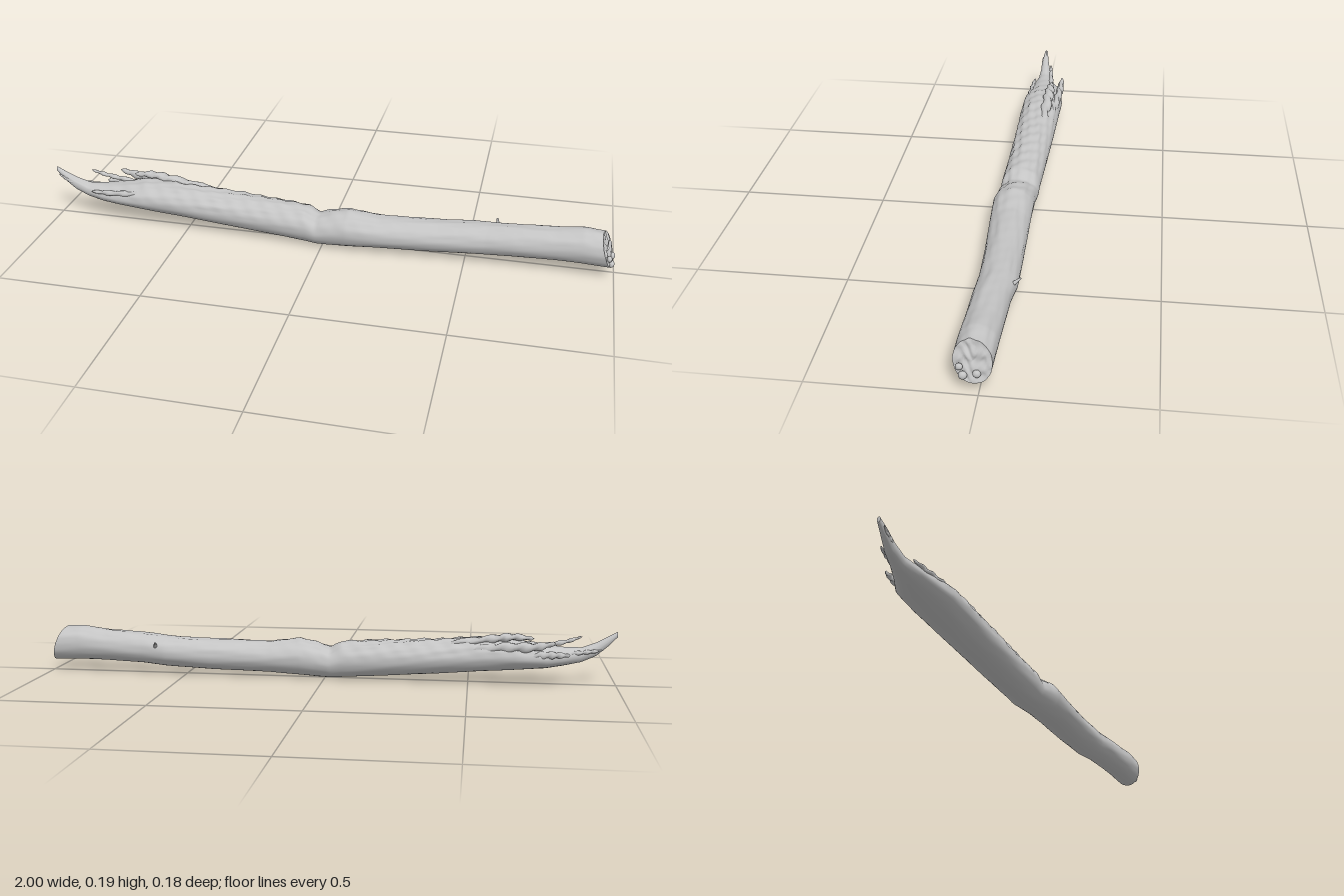
import * as THREE from 'three';

// Stations along the log: x, bottom y, top y, back z, front z
const STATIONS = [
  [-1.0, 0.172, 0.190, 0.002, 0.014], [-0.97, 0.140, 0.174, -0.004, 0.020],
  [-0.93, 0.106, 0.152, -0.014, 0.023], [-0.88, 0.084, 0.134, -0.024, 0.028],
  [-0.82, 0.072, 0.135, -0.048, 0.043], [-0.76, 0.064, 0.142, -0.078, 0.052],
  [-0.66, 0.056, 0.160, -0.088, 0.064], [-0.55, 0.047, 0.164, -0.084, 0.065],
  [-0.40, 0.034, 0.153, -0.078, 0.066], [-0.20, 0.018, 0.142, -0.069, 0.069],
  [-0.06, 0.008, 0.134, -0.062, 0.074], [-0.02, 0.005, 0.112, -0.060, 0.076],
  [0.03, 0.006, 0.128, -0.056, 0.080], [0.09, 0.010, 0.140, -0.056, 0.085],
  [0.20, 0.018, 0.127, -0.055, 0.081], [0.40, 0.022, 0.131, -0.058, 0.070],
  [0.57, 0.031, 0.139, -0.060, 0.065], [0.66, 0.038, 0.147, -0.049, 0.069],
  [0.80, 0.044, 0.156, -0.045, 0.071], [0.89, 0.044, 0.167, -0.043, 0.074],
  [0.975, 0.040, 0.163, -0.039, 0.076],
];

// Closed tube or disc of rings; point(i, j) gives one corner
function loft(rings, sides, point, material, name) {
  const pos = [], index = [];
  for (let i = 0; i < rings; i++)
    for (let j = 0; j < sides; j++) pos.push(...point(i / (rings - 1), (j / sides) * Math.PI * 2));
  for (let i = 0; i < rings - 1; i++)
    for (let j = 0; j < sides; j++) {
      const k = (j + 1) % sides, a = i * sides + j, b = i * sides + k;
      index.push(a, b, a + sides, b, b + sides, a + sides);
    }
  const geo = new THREE.BufferGeometry();
  geo.setAttribute('position', new THREE.Float32BufferAttribute(pos, 3));
  geo.setIndex(index);
  geo.computeVertexNormals();
  const mesh = new THREE.Mesh(geo, material);
  mesh.name = name;
  return mesh;
}

// Smoothly blended station at x
function section(x) {
  let i = 0;
  while (i < STATIONS.length - 2 && STATIONS[i + 1][0] < x) i++;
  const a = STATIONS[i], b = STATIONS[i + 1];
  const t = THREE.MathUtils.clamp((x - a[0]) / (b[0] - a[0]), 0, 1);
  return a.map((v, k) => v + (b[k] - v) * t);
}

// Point on the log's skin, with grain, worn top and a skewed sawn end
function skin(x, a) {
  const [, y0, y1, z0, z1] = section(x);
  const up = Math.max(0, Math.cos(a));
  const ss = THREE.MathUtils.smoothstep;
  const worn = ss(x, -0.92, -0.7) * (1 - ss(x, -0.1, 0.3));
  const grain = Math.sin(a * 7 + 3 * Math.sin(x * 5)) * Math.sin(x * 11 + a * 2)
    + 0.7 * Math.sin(a * 13 + x * 9) * Math.sin(x * 23 + a);
  const chips = Math.sin(x * 61 + a * 5) * Math.sin(x * 37 - a * 9);
  const r = 1 + grain * (0.008 + 0.022 * up) + chips * up * (0.01 + 0.055 * worn);
  const y = (y0 + y1) / 2 + Math.cos(a) * r * (y1 - y0) / 2;
  const z = (z0 + z1) / 2 + Math.sin(a) * r * (z1 - z0) / 2;
  const skew = ss(x, 0.88, 0.975) * ((0.1 - y) * 0.32 - z * 0.16);
  return [x + skew, y, z];
}

export function createModel() {
  const log = new THREE.Group();
  log.name = 'brokenLog';
  const wood = new THREE.MeshStandardMaterial({ color: 0xc4c4c4 });
  wood.name = 'pale grey wood';

  log.add(loft(260, 48, (t, a) => skin(-1 + 1.975 * t, a), wood, 'trunk'));

  // Closing discs: rough wood at the thick end, a small one at the tip
  const endCap = (x, flip, name) => {
    const [, y0, y1, z0, z1] = section(x);
    const cy = (y0 + y1) / 2, cz = (z0 + z1) / 2;
    return loft(10, 48, (t, a) => {
      const [px, py, pz] = skin(x, flip * a), s = 1 - t;
      const y = cy + (py - cy) * s, z = cz + (pz - cz) * s;
      const base = flip > 0 ? x + (0.1 - y) * 0.32 - z * 0.16 : px;
      const bump = flip > 0 && t > 0 ? 0.005 * Math.sin(y * 150 + 2 * Math.sin(z * 90)) * Math.sin(z * 130) : 0;
      return [base + bump, y, z];
    }, wood, name);
  };
  log.add(endCap(0.975, 1, 'sawnEnd'), endCap(-1, -1, 'tipEnd'));

  // Splinters and bark flakes: path points from tip to root, half height, half depth
  const splinter = (points, h, d, name) => {
    const curve = new THREE.CatmullRomCurve3(points.map((p) => new THREE.Vector3(...p)));
    log.add(loft(24, 9, (t, a) => {
      const p = curve.getPoint(t);
      const w = (0.12 + 0.88 * Math.sqrt(Math.sin(Math.PI * Math.min(t * 0.8, 1)))) * (t === 0 || t === 1 ? 0.01 : 1);
      const rough = 1 + 0.25 * Math.sin(t * 31 + a * 2);
      return [p.x, p.y + Math.cos(a) * h * w * rough, p.z + Math.sin(a) * d * w * rough];
    }, wood, name));
  };
  splinter([[-0.88, 0.176, -0.022], [-0.83, 0.160, -0.028], [-0.76, 0.146, -0.034], [-0.66, 0.135, -0.035]], 0.008, 0.008, 'upperSplinter');
  splinter([[-0.79, 0.160, -0.078], [-0.72, 0.145, -0.076], [-0.62, 0.140, -0.070], [-0.5, 0.125, -0.060]], 0.016, 0.013, 'backFlake');
  splinter([[-0.72, 0.168, -0.040], [-0.65, 0.172, -0.040], [-0.57, 0.162, -0.038], [-0.42, 0.140, -0.034]], 0.013, 0.018, 'topFlake');
  splinter([[-0.86, 0.120, 0.040], [-0.78, 0.122, 0.042], [-0.68, 0.128, 0.042], [-0.55, 0.125, 0.040]], 0.010, 0.010, 'frontSplinter');
  splinter([[-0.84, 0.118, -0.066], [-0.77, 0.118, -0.070], [-0.68, 0.110, -0.070]], 0.012, 0.010, 'sideSplinter');
  splinter([[-0.95, 0.128, -0.014], [-0.89, 0.122, -0.022], [-0.8, 0.112, -0.03]], 0.007, 0.008, 'tongueSplinter');
  splinter([[-0.99, 0.165, 0.020], [-0.95, 0.142, 0.018], [-0.88, 0.118, 0.012]], 0.007, 0.005, 'tipSplinter');

  // Twig stub on the back and small knots on the front
  const stub = new THREE.Mesh(new THREE.CylinderGeometry(0.003, 0.008, 0.035, 8), wood);
  stub.name = 'twigStub';
  stub.position.set(0.6, 0.115, -0.058);
  stub.rotation.set(-0.9, 0, 0.2);
  log.add(stub);
  for (const [x, y, z, s] of [[0.71, 0.118, 0.058, 0.011], [0.86, 0.132, 0.058, 0.008]]) {
    const knot = new THREE.Mesh(new THREE.TorusGeometry(s, 0.004, 8, 16), wood);
    knot.name = 'knot';
    knot.position.set(x, y, z);
    knot.rotation.x = -0.5;
    knot.scale.set(1.4, 0.8, 1);
    log.add(knot);
  }

  // Crumbled lumps around the thick end's lower rim
  for (const [x, y, z, s] of [[0.986, 0.062, 0.045, 0.013], [0.988, 0.072, 0.005, 0.012], [0.978, 0.085, 0.056, 0.011]]) {
    const lump = new THREE.Mesh(new THREE.IcosahedronGeometry(s, 2), wood);
    lump.name = 'endLump';
    lump.position.set(x, y, z);
    lump.scale.x = 0.8;
    log.add(lump);
  }
  return log;
}
